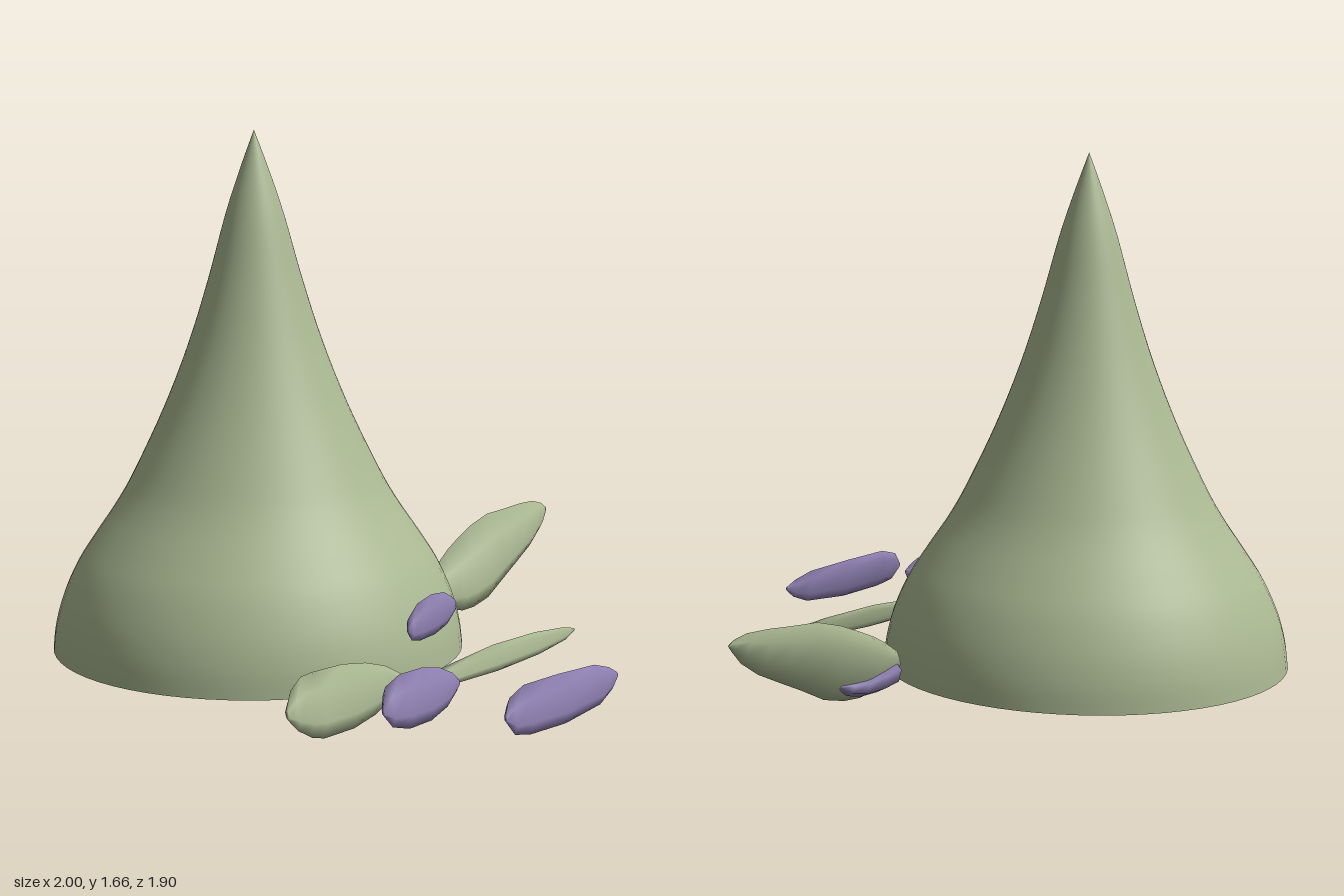
import * as THREE from 'three';

const green = new THREE.MeshStandardMaterial({ color: 0xaab892 });
green.name = 'sage green';
const purple = new THREE.MeshStandardMaterial({ color: 0x8e80b2 });
purple.name = 'muted purple';

// Flat pebble lofted along x. Each row is [x, top y, bottom y];
// the cross-section is a pointed hexagon that leans back.
function pebble(name, material, z, halfThick, lean, rows) {
  const sides = 6, pos = [], idx = [];
  const maxHalf = Math.max(...rows.map(r => (r[1] - r[2]) / 2));
  for (const [x, top, bottom] of rows) {
    const mid = (top + bottom) / 2, half = (top - bottom) / 2;
    const t = halfThick * Math.pow(half / maxHalf, 0.75);
    for (let i = 0; i < sides; i++) {
      const a = i / sides * Math.PI * 2;
      const dy = Math.cos(a) * half;
      pos.push(x, mid + dy, z + Math.sin(a) * t * 1.15 + lean * dy);
    }
  }
  for (let r = 0; r < rows.length - 1; r++) {
    for (let i = 0; i < sides; i++) {
      const a = r * sides + i, b = r * sides + (i + 1) % sides;
      idx.push(a, b, a + sides, b, b + sides, a + sides);
    }
  }
  // close both ends
  const last = (rows.length - 1) * sides;
  for (let i = 1; i < sides - 1; i++) {
    idx.push(0, i + 1, i, last, last + i, last + i + 1);
  }
  const g = new THREE.BufferGeometry();
  g.setAttribute('position', new THREE.Float32BufferAttribute(pos, 3));
  g.setIndex(idx);
  g.computeVertexNormals();
  const mesh = new THREE.Mesh(g, material);
  mesh.name = name;
  return mesh;
}

export function createModel() {
  const model = new THREE.Group();
  model.name = 'coneWithPebbles';

  // Bell-shaped cone, smooth from rim to tip, very slightly deeper than wide
  const cone = new THREE.Group();
  cone.name = 'cone';
  cone.position.set(-0.32, 0, -0.297);
  cone.scale.z = 1.02;
  const curve = new THREE.SplineCurve([
    [0.64, 0.04], [0.63, 0.12], [0.605, 0.21], [0.56, 0.31], [0.503, 0.4],
    [0.436, 0.5], [0.38, 0.6], [0.286, 0.8], [0.208, 1.0], [0.145, 1.2],
    [0.09, 1.4], [0.044, 1.54], [0, 1.66],
  ].map(p => new THREE.Vector2(...p)));
  const profile = curve.getPoints(48);
  profile[48].x = 0;
  const bell = new THREE.Mesh(new THREE.LatheGeometry(profile, 64), green);
  bell.name = 'coneBell';

  // Flat underside
  const base = new THREE.Mesh(new THREE.CircleGeometry(0.64, 64), green);
  base.name = 'coneBase';
  base.rotation.x = Math.PI / 2;
  base.position.y = 0.04;
  cone.add(bell, base);

  model.add(
    cone,
    // Large leaf beside the cone
    pebble('sideLeaf', green, -0.102, 0.042, -0.32, [
      [0.325, 0.115, 0.095], [0.345, 0.155, 0.065], [0.41, 0.198, 0.035],
      [0.46, 0.225, 0.022], [0.52, 0.252, 0.024], [0.6, 0.285, 0.043],
      [0.69, 0.311, 0.09], [0.78, 0.315, 0.133], [0.87, 0.321, 0.177],
      [0.94, 0.32, 0.225], [0.98, 0.307, 0.268], [0.995, 0.293, 0.285],
    ]),
    // Purple streak on the back of the leaf, wrapping round its inner end
    pebble('leafStreak', purple, -0.106, 0.034, -0.32, [
      [0.335, 0.105, 0.085], [0.355, 0.125, 0.045], [0.41, 0.115, 0.035],
      [0.48, 0.1, 0.035], [0.54, 0.1, 0.05], [0.58, 0.1, 0.08],
    ]),
    // Pebbles in front of the cone
    pebble('roundLeaf', green, 0.423, 0.022, -0.25, [
      [-1, 0.115, 0.085], [-0.97, 0.16, 0.05], [-0.92, 0.186, 0.02],
      [-0.87, 0.188, 0.006], [-0.74, 0.182, 0.003], [-0.64, 0.165, 0.018],
      [-0.56, 0.14, 0.042], [-0.49, 0.1, 0.08],
    ]),
    pebble('smallPebble', purple, 0.595, 0.02, -0.25, [
      [-0.795, 0.1, 0.08], [-0.77, 0.155, 0.045], [-0.7, 0.175, 0.025],
      [-0.6, 0.172, 0.025], [-0.52, 0.155, 0.045], [-0.47, 0.13, 0.075],
      [-0.45, 0.11, 0.09],
    ]),
    pebble('longPebble', purple, 0.92, 0.019, -0.2, [
      [-0.67, 0.115, 0.095], [-0.64, 0.155, 0.055], [-0.57, 0.175, 0.04],
      [-0.4, 0.168, 0.03], [-0.22, 0.155, 0.042], [-0.15, 0.133, 0.07],
      [-0.115, 0.112, 0.1],
    ]),
    pebble('highPebble', purple, 0.373, 0.017, -0.12, [
      [-0.402, 0.215, 0.195], [-0.39, 0.245, 0.172], [-0.35, 0.275, 0.165],
      [-0.28, 0.29, 0.17], [-0.22, 0.285, 0.188], [-0.185, 0.265, 0.213],
      [-0.17, 0.25, 0.24],
    ]),
    pebble('thinBlade', green, 0.489, 0.006, -0.25, [
      [-0.53, 0.085, 0.075], [-0.4, 0.105, 0.052], [-0.12, 0.12, 0.042],
      [0.1, 0.113, 0.046], [0.25, 0.098, 0.06], [0.305, 0.085, 0.078],
    ]),
  );
  return model;
}
